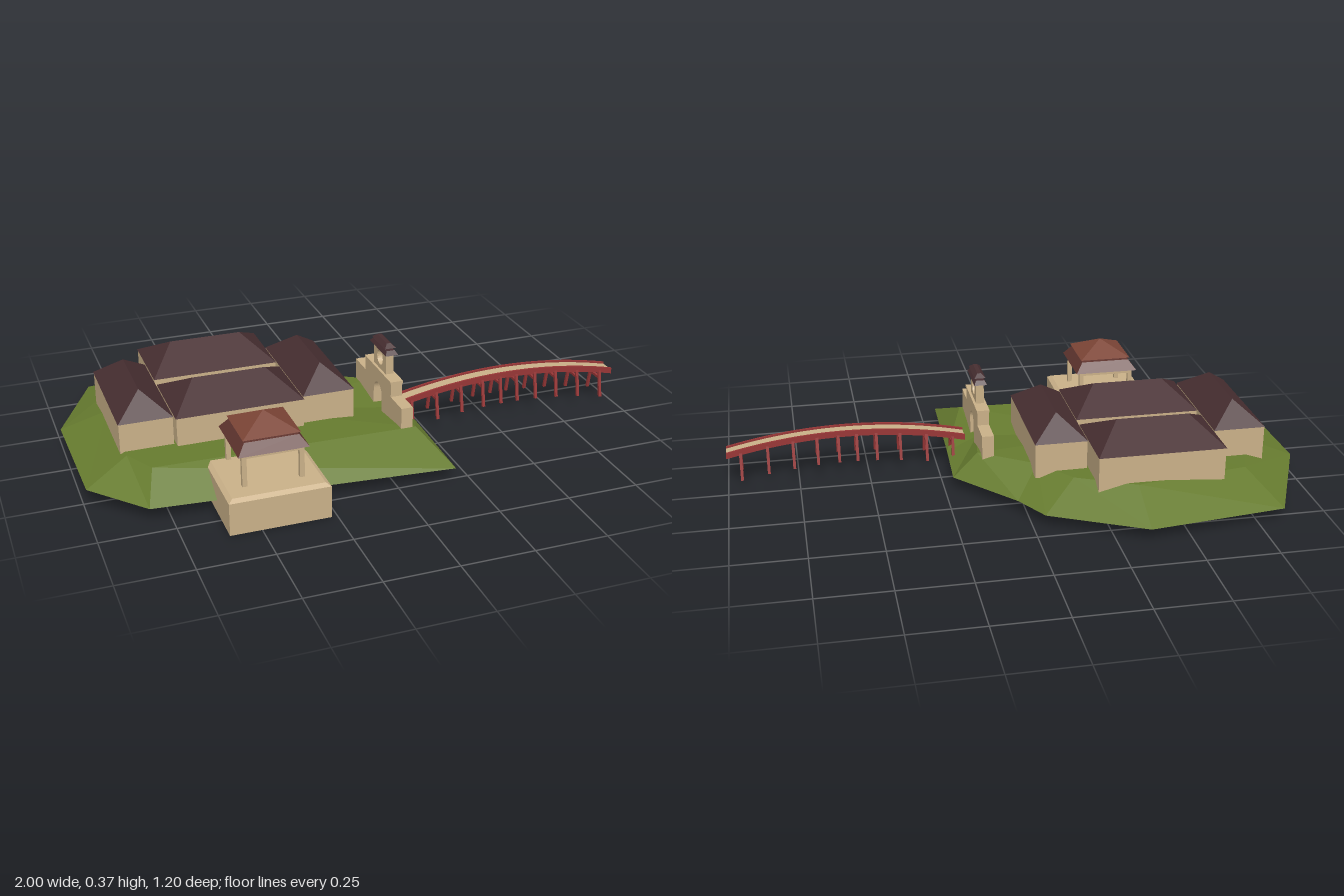
import * as THREE from 'three';

const mat = (name, color, side = THREE.FrontSide) => {
  const m = new THREE.MeshStandardMaterial({ color, side, flatShading: true });
  m.name = name;
  return m;
};

export function createModel() {
  const M = {
    stone: mat('sandstone', 0xc9b088),
    grass: mat('grass', 0x667b2f, THREE.DoubleSide),
    roof: mat('darkRoof', 0x472e31),
    eave: mat('brownEave', 0x60352f),
    clay: mat('clayRoof', 0x7c4536),
    red: mat('redTimber', 0x983636),
  };
  const model = new THREE.Group();
  model.name = 'islandTemple';

  const add = (parent, name, geo, material, x = 0, y = 0, z = 0) => {
    const mesh = new THREE.Mesh(geo, material);
    mesh.name = name;
    mesh.position.set(x, y, z);
    parent.add(mesh);
    return mesh;
  };
  const group = (name) => {
    const g = new THREE.Group();
    g.name = name;
    model.add(g);
    return g;
  };
  const box = (w, h, d) => new THREE.BoxGeometry(w, h, d);

  // Box standing on y = 0 whose top is narrowed to tw x td (a ridge when one is 0)
  const taper = (w, h, d, tw, td) => {
    const geo = box(w, h, d).translate(0, h / 2, 0);
    const p = geo.attributes.position;
    for (let i = 0; i < p.count; i++) {
      if (p.getY(i) > h / 2) p.setXYZ(i, Math.sign(p.getX(i)) * tw / 2, h, Math.sign(p.getZ(i)) * td / 2);
    }
    geo.computeVertexNormals();
    return geo;
  };

  // Hollow rectangular wall ring standing on y = 0
  const rect = (path, w, d) => path.moveTo(-w / 2, -d / 2).lineTo(w / 2, -d / 2).lineTo(w / 2, d / 2).lineTo(-w / 2, d / 2).closePath();
  const ring = (w, h, d, t) => {
    const shape = new THREE.Shape(), hole = new THREE.Path();
    rect(shape, w, d);
    rect(hole, w - 2 * t, d - 2 * t);
    shape.holes.push(hole);
    return new THREE.ExtrudeGeometry(shape, { depth: h, bevelEnabled: false }).rotateX(-Math.PI / 2);
  };

  // Island: open shell with a raised plateau; each row is outer x, y, z, inner x, y, z
  const rim = [
    [-0.84, 0.045, -0.54, -0.76, 0.122, -0.36],
    [-0.36, 0.045, -0.60, -0.36, 0.125, -0.43],
    [-0.04, 0.045, -0.44, -0.16, 0.122, -0.33],
    [0.03, 0.045, -0.32, -0.06, 0.122, -0.20],
    [0.22, 0.045, -0.10, 0.13, 0.125, -0.08],
    [0.21, 0.045, 0.12, 0.10, 0.102, 0.11],
    [0.20, 0.045, 0.515, 0.13, 0.125, 0.33],
    [-0.82, 0.048, 0.435, -0.78, 0.125, 0.31],
    [-0.99, 0.062, 0.27, -0.84, 0.125, 0.20],
    [-1.0, 0.065, -0.18, -0.84, 0.125, -0.15],
  ];
  const verts = [];
  rim.forEach((a, i) => {
    const b = rim[(i + 1) % rim.length];
    const [ao, ai, bo, bi] = [a.slice(0, 3), a.slice(3), b.slice(0, 3), b.slice(3)];
    verts.push(...ao, ...ai, ...bi, ...ao, ...bi, ...bo, ...ai, -0.4, 0.125, 0, ...bi);
  });
  const land = new THREE.BufferGeometry();
  land.setAttribute('position', new THREE.Float32BufferAttribute(verts, 3));
  land.computeVertexNormals();
  add(model, 'island', land, M.grass);

  // Four halls: walls with hipped roofs
  [
    ['leftHall', -0.13, -0.048, 0.185, 0.445, 0, 0.255],
    ['rightHall', -0.765, -0.048, 0.185, 0.445, 0, 0.255],
    ['backHall', -0.447, -0.272, 0.445, 0.285, 0.255, 0],
    ['frontHall', -0.447, 0.053, 0.445, 0.285, 0.255, 0],
  ].forEach(([name, x, z, w, d, rw, rd]) => {
    const hall = group(name);
    add(hall, 'hallWalls', ring(w - 0.004, 0.125, d - 0.004, 0.015), M.stone, x, 0.1, z);
    add(hall, 'hippedRoof', taper(w, 0.075, d, rw, rd), M.roof, x, 0.225, z);
  });

  // Pavilion on its hollow platform
  const pav = group('pavilion');
  const px = -0.437, pz = 0.432;
  add(pav, 'platformWalls', ring(0.336, 0.112, 0.336, 0.008), M.stone, px, 0, pz);
  add(pav, 'platformTop', taper(0.336, 0.01, 0.336, 0.306, 0.306), M.stone, px, 0.112, pz);
  const cz = 0.424;
  for (const sx of [-1, 1]) {
    for (const sz of [-1, 1]) add(pav, 'pavilionPost', box(0.016, 0.12, 0.016), M.stone, px + sx * 0.095, 0.178, cz + sz * 0.095);
    add(pav, 'sideBeam', box(0.012, 0.016, 0.19), M.stone, px + sx * 0.095, 0.227, cz);
    add(pav, 'crossBeam', box(0.19, 0.016, 0.012), M.stone, px, 0.227, cz + sx * 0.095);
  }
  add(pav, 'lowerRoof', taper(0.234, 0.036, 0.234, 0.18, 0.18), M.eave, px, 0.234, cz);
  add(pav, 'upperRoof', taper(0.19, 0.05, 0.19, 0, 0), M.clay, px, 0.279, cz);

  // Gate: profiles drawn in z and y, extruded across x
  const gate = group('gate');
  const gx = 0.097, gz = 0.107;
  const across = (shape, depth) => new THREE.ExtrudeGeometry(shape, { depth, bevelEnabled: false, curveSegments: 12 })
    .translate(0, 0, -depth / 2).rotateY(-Math.PI / 2);
  const wall = new THREE.Shape();
  wall.moveTo(-0.222, 0.1).lineTo(-0.039, 0.1).lineTo(-0.039, 0.163);
  wall.absarc(0, 0.163, 0.039, Math.PI, 0, true);
  wall.lineTo(0.039, 0.1).lineTo(0.222, 0.1).lineTo(0.222, 0.2).lineTo(0.123, 0.2)
    .lineTo(0.123, 0.248).lineTo(-0.123, 0.248).lineTo(-0.123, 0.2).lineTo(-0.222, 0.2).closePath();
  add(gate, 'archWall', across(wall, 0.042), M.stone, gx, 0, gz);
  add(gate, 'wallCap', box(0.046, 0.008, 0.25), M.stone, gx, 0.252, gz);
  const tower = new THREE.Shape();
  tower.moveTo(-0.057, 0.256).lineTo(0.057, 0.256).lineTo(0.057, 0.335).lineTo(-0.057, 0.335).closePath();
  const hole = new THREE.Path();
  hole.absarc(0, 0.298, 0.027, 0, Math.PI * 2, true);
  tower.holes.push(hole);
  add(gate, 'gateTower', across(tower, 0.028), M.stone, gx, 0, gz);
  add(gate, 'lowerTowerRoof', taper(0.046, 0.014, 0.155, 0.03, 0.128), M.roof, gx, 0.333, gz);
  add(gate, 'upperTowerRoof', taper(0.04, 0.013, 0.125, 0.014, 0.09), M.roof, gx, 0.354, gz);

  // Arched bridge
  const bridge = group('bridge');
  const bz = 0.105;
  const arcY = (x) => 0.167 - 0.28 * (x - 0.57) ** 2;
  const arcBand = (low, high, depth) => {
    const pts = [], n = 24;
    const at = (i) => 0.15 + 0.85 * i / n;
    for (let i = 0; i <= n; i++) pts.push(new THREE.Vector2(at(i), arcY(at(i)) + low));
    for (let i = n; i >= 0; i--) pts.push(new THREE.Vector2(at(i), arcY(at(i)) + high));
    return new THREE.ExtrudeGeometry(new THREE.Shape(pts), { depth, bevelEnabled: false }).translate(0, 0, -depth / 2);
  };
  add(bridge, 'deck', arcBand(-0.005, 0.004, 0.05), M.stone, 0, 0, bz);
  for (const s of [-1, 1]) add(bridge, 'sideRail', arcBand(-0.011, 0.011, 0.007), M.red, 0, 0, bz + s * 0.0285);

  // Splayed bridge legs with a cross tie
  for (const x of [0.195, 0.29, 0.385, 0.47, 0.54, 0.605, 0.68, 0.765, 0.855, 0.95]) {
    const y = arcY(x);
    add(bridge, 'crossTie', box(0.009, 0.009, 0.072), M.red, x, y - 0.03, bz);
    for (const s of [-1, 1]) {
      const leg = add(bridge, 'bridgeLeg', box(0.01, 0.1, 0.009), M.red, x, y - 0.053, bz + s * 0.038);
      leg.rotation.x = -s * 0.2;
    }
  }
  return model;
}
